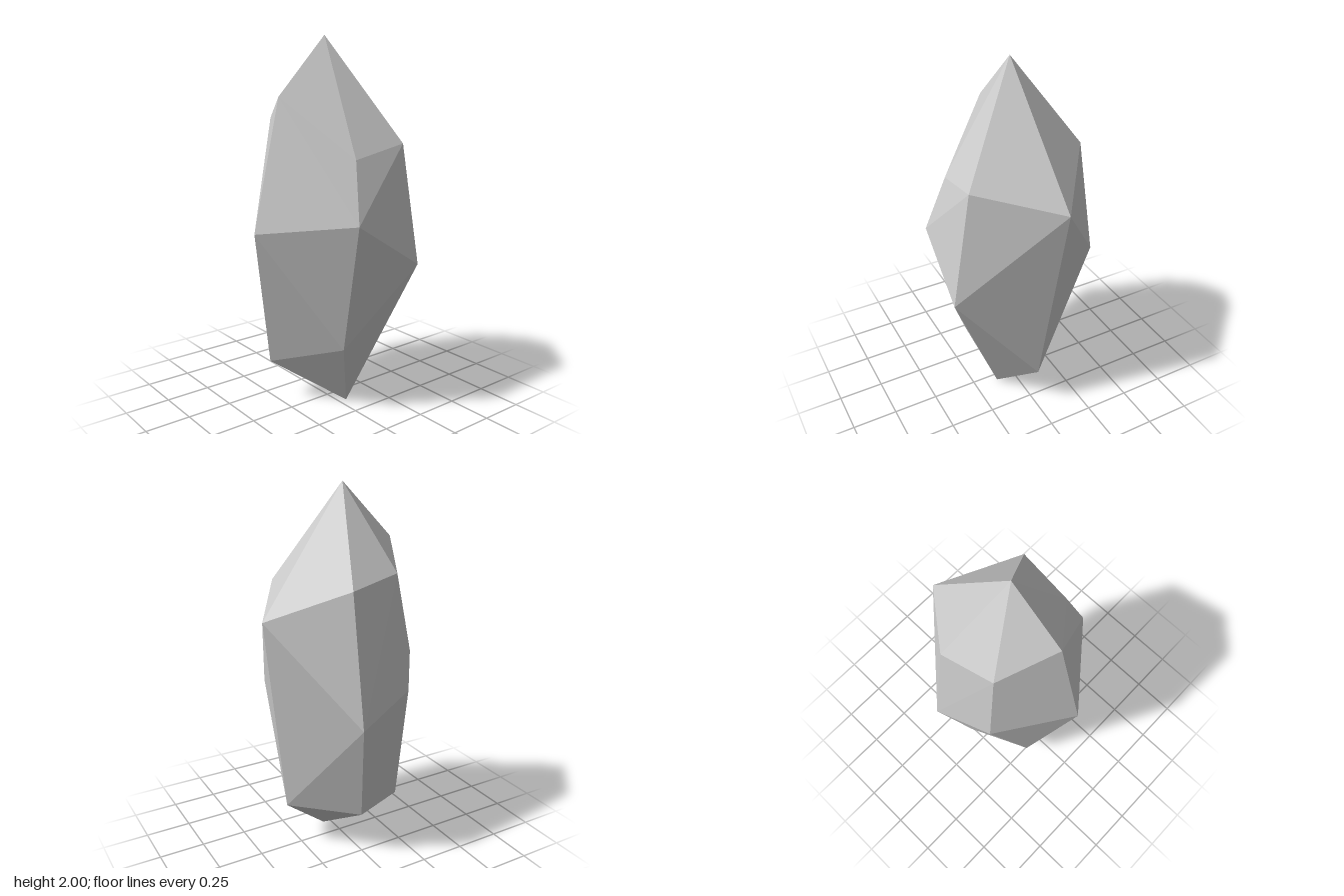
import * as THREE from 'three';
import { ConvexGeometry } from 'three/addons/geometries/ConvexGeometry.js';

// Corners of the faceted crystal, by level
const tip = [[-0.015, 2, -0.005]];
const shoulder = [
  [-0.315, 1.7, 0.01], [-0.08, 1.4, 0.33], [0.225, 1.46, 0.34],
  [0.475, 1.355, -0.07], [0.12, 1.525, -0.34], [-0.17, 1.57, -0.28],
];
const waist = [
  [-0.48, 1.025, 0.02], [-0.14, 1.09, 0.43], [0.245, 0.84, 0.45],
  [0.12, 0.84, -0.45], [-0.205, 0.965, -0.36],
];
const foot = [
  [-0.29, 0.235, -0.145], [-0.09, 0.38, 0.255],
  [0.335, 0.26, 0], [0.035, 0.265, -0.3],
];
const point = [[0.045, 0, 0.115]];

export function createModel() {
  const group = new THREE.Group();
  group.name = 'crystal';

  // The convex skin over all levels gives the flat facets
  const corners = [tip, shoulder, waist, foot, point].flat()
    .map((p) => new THREE.Vector3(...p));
  const body = new THREE.Mesh(
    new ConvexGeometry(corners),
    new THREE.MeshStandardMaterial({ color: 0xcccccc, flatShading: true }),
  );
  body.name = 'crystalBody';
  group.add(body);
  return group;
}
